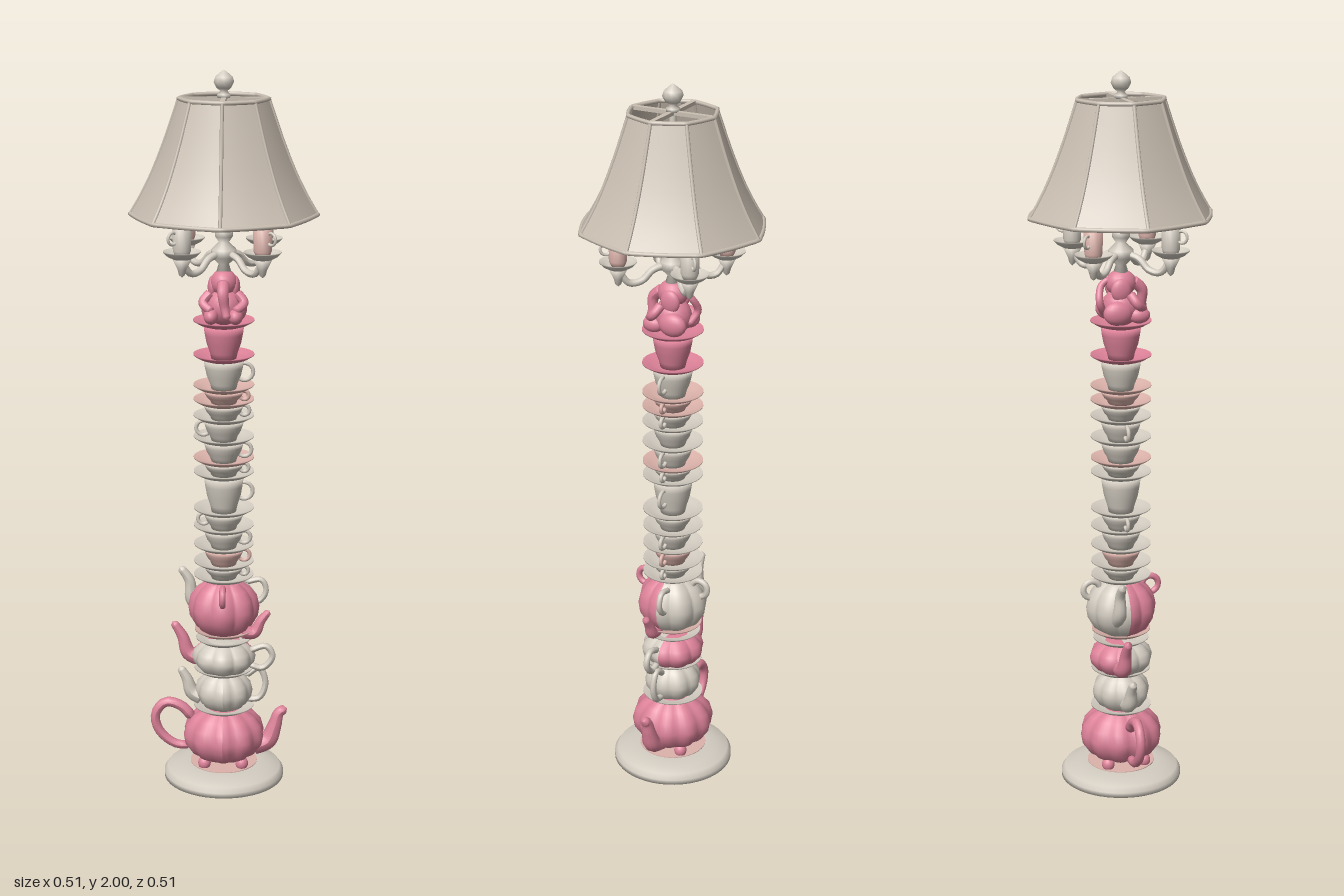
import * as THREE from 'three';

const mat = (name, color, side = THREE.FrontSide) => {
  const m = new THREE.MeshStandardMaterial({ color, side });
  m.name = name;
  return m;
};
const V = (x, y, z = 0) => new THREE.Vector3(x, y, z);

export function createModel() {
  const root = new THREE.Group();
  root.name = 'teapotFloorLamp';
  const cream = mat('cream', 0xd3ccc1);
  const pink = mat('rosePink', 0xdd8299);
  const palePink = mat('palePink', 0xdcb3ab);
  const linen = mat('linen', 0xcabfb2, THREE.DoubleSide);

  const add = (name, geo, material, x = 0, y = 0, z = 0, parent = root) => {
    const m = new THREE.Mesh(geo, material);
    m.name = name;
    m.position.set(x, y, z);
    parent.add(m);
    return m;
  };
  const lathe = (pts, seg = 32, start = 0, len = Math.PI * 2) =>
    new THREE.LatheGeometry(pts.map(p => new THREE.Vector2(p[0], p[1])), seg, start, len);
  const blob = (name, material, p, s) =>
    add(name, new THREE.SphereGeometry(1, 18, 12), material, ...p).scale.set(...s);

  // tube through points, radius running r0 to r1, closed at both ends
  const taper = (name, material, pts, r0, r1, parent = root) => {
    const n = 20, radial = 10, curve = new THREE.CatmullRomCurve3(pts);
    const g = new THREE.TubeGeometry(curve, n, 1, radial), p = g.attributes.position, v = V(0, 0);
    for (let i = 0; i <= n; i++) {
      const c = curve.getPointAt(i / n);
      const r = i === 0 || i === n ? 0.0001 : r0 + (r1 - r0) * i / n;
      for (let j = 0; j <= radial; j++) {
        const k = i * (radial + 1) + j;
        v.fromBufferAttribute(p, k).sub(c).multiplyScalar(r).add(c);
        p.setXYZ(k, v.x, v.y, v.z);
      }
    }
    g.computeVertexNormals();
    return add(name, g, material, 0, 0, 0, parent);
  };

  // rounded pot body with soft vertical lobes
  const potBody = (name, material, y, h, r, lobes, start, len) => {
    const pts = [[0, 0], [0.5, 0], [0.78, 0.12], [0.96, 0.32], [1, 0.5], [0.93, 0.7],
      [0.75, 0.86], [0.55, 0.95], [0.5, 1], [0, 1]].map(q => [q[0] * r, q[1] * h]);
    const g = lathe(pts, 64, start, len), p = g.attributes.position;
    for (let i = 0; i < p.count; i++) {
      const a = Math.atan2(p.getX(i), p.getZ(i));
      const k = 0.93 + 0.09 * Math.abs(Math.cos(a * lobes / 2));
      p.setXYZ(i, p.getX(i) * k, p.getY(i), p.getZ(i) * k);
    }
    g.computeVertexNormals();
    return add(name, g, material, 0, y, 0);
  };
  const saucer = (y, r, material, x = 0, z = 0) => add('saucer', lathe([[0, -0.012], [r * 0.5, -0.012],
    [r * 0.8, -0.004], [r, 0.006], [r, 0.009], [r * 0.78, 0.002], [r * 0.5, -0.004], [0, -0.004]]), material, x, y, z);

  // Base plate, hollow underneath
  add('base', lathe([[0, 0.012], [0.145, 0.012], [0.15, 0], [0.17, 0], [0.17, 0.014], [0.16, 0.028],
    [0.13, 0.034], [0.1, 0.042], [0, 0.042]], 48), cream);
  add('baseInset', new THREE.CylinderGeometry(0.095, 0.095, 0.004, 40), palePink, 0, 0.042, 0);

  // Large bottom teapot
  potBody('largeTeapot', pink, 0.055, 0.15, 0.115, 10);
  for (let i = 0; i < 4; i++) {
    const a = Math.PI / 4 + i * Math.PI / 2;
    blob('teapotFoot', pink, [Math.cos(a) * 0.075, 0.055, Math.sin(a) * 0.075], [0.018, 0.02, 0.018]);
  }
  taper('largeSpout', pink, [V(0.08, 0.09), V(0.125, 0.105), V(0.145, 0.15), V(0.158, 0.19), V(0.18, 0.203)], 0.032, 0.012);
  taper('largeHandle', pink, [V(-0.09, 0.085), V(-0.14, 0.09), V(-0.185, 0.13), V(-0.195, 0.18),
    V(-0.165, 0.217), V(-0.12, 0.205), V(-0.085, 0.165)], 0.012, 0.015);

  // Second teapot
  saucer(0.208, 0.085, cream);
  potBody('secondTeapot', cream, 0.205, 0.11, 0.08, 8);
  taper('secondSpout', cream, [V(-0.06, 0.235), V(-0.09, 0.25), V(-0.105, 0.29), V(-0.125, 0.325)], 0.025, 0.01);
  taper('secondHandle', cream, [V(0.06, 0.23), V(0.1, 0.235), V(0.118, 0.28), V(0.1, 0.325), V(0.06, 0.3)], 0.009, 0.009);

  // Two levels of two-tone teapots, each with a front half and a back half
  const halfPots = (y, h, r, front, back) => {
    potBody('frontHalfPot', front, y, h, r, 8, -Math.PI / 2, Math.PI);
    potBody('backHalfPot', back, y, h, r, 8, Math.PI / 2, Math.PI);
  };
  saucer(0.322, 0.083, cream);
  halfPots(0.315, 0.095, 0.088, cream, pink);
  taper('thirdSpout', pink, [V(-0.06, 0.345, -0.02), V(-0.1, 0.36, -0.02), V(-0.118, 0.41, -0.02), V(-0.145, 0.455, -0.02)], 0.026, 0.01);
  taper('thirdHandle', cream, [V(0.07, 0.34, 0.01), V(0.11, 0.33, 0.01), V(0.138, 0.365, 0.01), V(0.12, 0.395, 0.01), V(0.07, 0.38, 0.01)], 0.009, 0.009);
  saucer(0.412, 0.078, cream);
  saucer(0.438, 0.082, palePink);
  halfPots(0.435, 0.155, 0.098, pink, cream);
  taper('fourthPinkSpout', pink, [V(0.05, 0.445, 0.02), V(0.085, 0.44, 0.02), V(0.105, 0.475, 0.02), V(0.128, 0.505, 0.02)], 0.022, 0.009);
  taper('fourthCreamSpout', cream, [V(-0.06, 0.49, -0.03), V(-0.09, 0.52, -0.03), V(-0.098, 0.575, -0.03), V(-0.125, 0.615, -0.03)], 0.024, 0.01);
  taper('fourthHandle', cream, [V(0.06, 0.575, -0.02), V(0.105, 0.582, -0.02), V(0.118, 0.55, -0.02), V(0.1, 0.52, -0.02), V(0.07, 0.515, -0.02)], 0.008, 0.008);
  for (const s of [1, -1]) {
    add('potLoop', new THREE.TorusGeometry(0.024, 0.009, 8, 20), s > 0 ? pink : cream, 0, 0.567, s * 0.085).rotation.y = Math.PI / 2;
  }

  // Column of stacked saucers and teacups
  const levels = [0.6, 0.64, 0.69, 0.745, 0.795, 0.9, 0.94, 1.0, 1.06, 1.105, 1.145, 1.23, 1.325];
  const pinkCups = [1, 9, 11], pinkSaucers = [6, 9, 10];
  levels.forEach((y, i) => {
    saucer(y, 0.083, i >= 11 ? pink : pinkSaucers.includes(i) ? palePink : cream);
    if (i === levels.length - 1) return;
    const h = levels[i + 1] - y - 0.01;
    const cupMat = i === 11 ? pink : pinkCups.includes(i) ? palePink : cream;
    add('teacup', lathe([[0, -0.005], [0.034, -0.005], [0.038, h * 0.15], [0.047, h * 0.45], [0.052, h * 0.75],
      [0.055, h], [0, h]]), cupMat, 0, y, 0);
    const s = [1, 1, 1, -1][i % 4], r = Math.min(0.024, h * 0.4);
    if (i !== 11) add('cupHandle', new THREE.TorusGeometry(r, 0.0055, 8, 18), cupMat, s * 0.056, y + h * 0.58, 0);
  });

  // Seated trunked figure on the top saucer
  blob('figureBody', pink, [0, 1.37, 0], [0.05, 0.052, 0.052]);
  blob('figureHead', pink, [0, 1.435, 0], [0.036, 0.037, 0.042]);
  for (const s of [1, -1]) {
    blob('figureEar', pink, [s * 0.03, 1.42, -0.008], [0.014, 0.032, 0.028]);
    blob('figureLeg', pink, [s * 0.033, 1.35, 0.042], [0.02, 0.022, 0.03]);
    blob('figureHaunch', pink, [s * 0.04, 1.36, -0.02], [0.022, 0.033, 0.04]);
    taper('figureArm', pink, [V(s * 0.035, 1.41, 0.015), V(s * 0.055, 1.385, 0.03), V(s * 0.03, 1.365, 0.055)], 0.014, 0.011);
  }
  taper('figureTrunk', pink, [V(0, 1.44, 0.03), V(0, 1.415, 0.058), V(0.005, 1.375, 0.06), V(0.012, 1.345, 0.07)], 0.018, 0.01);
  taper('figureTail', pink, [V(0, 1.35, -0.045), V(-0.02, 1.39, -0.065), V(0, 1.43, -0.055), V(0, 1.45, -0.03)], 0.011, 0.009);

  // Central stem with turned beads
  add('stem', lathe([[0, 1.455], [0.02, 1.465], [0.014, 1.485], [0.034, 1.505], [0.034, 1.525], [0.014, 1.545],
    [0.024, 1.56], [0.024, 1.575], [0.016, 1.58], [0.016, 1.615], [0.009, 1.62], [0.009, 1.95], [0, 1.95]], 20), cream);
  saucer(1.635, 0.06, cream);

  // Four diagonal arms with dishes, candle cups and little loops
  for (let i = 0; i < 4; i++) {
    const arm = new THREE.Group();
    arm.name = 'candleArm';
    arm.rotation.y = Math.PI / 4 + i * Math.PI / 2;
    root.add(arm);
    taper('armCurve', cream, [V(0.02, 1.515), V(0.055, 1.505), V(0.085, 1.478), V(0.12, 1.475), V(0.15, 1.515)], 0.01, 0.009, arm);
    add('armCone', lathe([[0, 1.468], [0.008, 1.475], [0.012, 1.49], [0.024, 1.515], [0, 1.525]], 16), cream, 0.15, 0, 0, arm);
    arm.add(saucer(1.53, 0.05, cream, 0.15, 0));
    add('candleCup', lathe([[0, 1.525], [0.018, 1.525], [0.024, 1.54], [0.026, 1.598], [0, 1.598]], 18), i % 2 ? palePink : cream, 0.15, 0, 0, arm);
    add('candleLoop', new THREE.TorusGeometry(0.016, 0.004, 8, 16), cream, 0.182, 1.575, 0, arm);
  }

  // Eight-sided flared shade with slightly bowed panels
  const profile = [[0.25, 1.62], [0.226, 1.66], [0.2, 1.71], [0.176, 1.765], [0.153, 1.825], [0.134, 1.88], [0.119, 1.925]];
  const bow = a => {
    const step = Math.PI / 4, d = a - (Math.floor(a / step) + 0.5) * step;
    return 0.35 + 0.65 * Math.cos(step / 2) / Math.cos(d);
  };
  const sector = lathe(profile, 6, 0, Math.PI / 4), sp = sector.attributes.position;
  for (let i = 0; i < sp.count; i++) {
    const a = Math.floor(i / profile.length) / 6 * Math.PI / 4;
    const k = a > 0 && a < Math.PI / 4 - 0.001 ? bow(a) : 1;
    sp.setXYZ(i, sp.getX(i) * k, sp.getY(i), sp.getZ(i) * k);
  }
  sector.computeVertexNormals();
  const ribCurve = new THREE.CatmullRomCurve3(profile.map(p => V(0, p[1], p[0])));
  const rib = new THREE.TubeGeometry(ribCurve, 18, 0.005, 6);
  for (let i = 0; i < 8; i++) {
    add('shadePanel', sector, linen).rotation.y = i * Math.PI / 4;
    add('shadeRib', rib, linen).rotation.y = i * Math.PI / 4;
  }
  for (const [r, y] of [[0.25, 1.62], [0.119, 1.925]]) {
    const ring = [];
    for (let i = 0; i < 48; i++) {
      const a = i / 48 * Math.PI * 2, k = i % 6 ? bow(a) : 1;
      ring.push(V(Math.sin(a) * r * k, y, Math.cos(a) * r * k));
    }
    add('shadeRim', new THREE.TubeGeometry(new THREE.CatmullRomCurve3(ring, true), 96, 0.006, 6, true), linen);
  }
  // Cross bars holding the shade, and the finial
  add('crossBarX', new THREE.BoxGeometry(0.232, 0.01, 0.014), linen, 0, 1.924, 0);
  add('crossBarZ', new THREE.BoxGeometry(0.014, 0.01, 0.232), linen, 0, 1.924, 0);
  add('finial', lathe([[0, 1.925], [0.018, 1.927], [0.018, 1.936], [0.009, 1.944], [0.02, 1.953], [0.028, 1.968],
    [0.024, 1.981], [0.012, 1.991], [0, 2]], 10), cream);
  return root;
}
